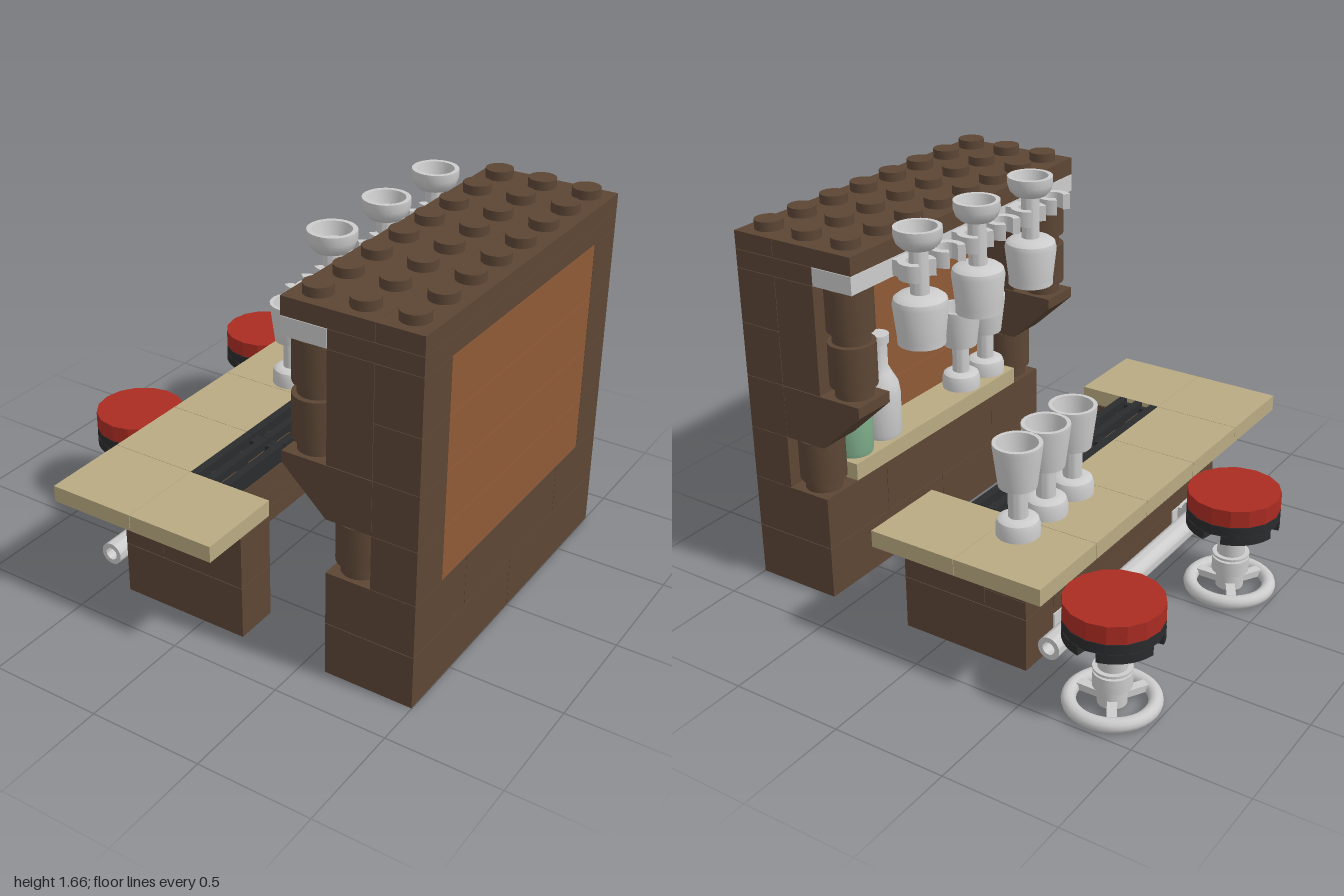
import * as THREE from 'three';
import { toCreasedNormals } from 'three/addons/utils/BufferGeometryUtils.js';

const mat = (color) => new THREE.MeshStandardMaterial({ color });
const brown = mat(0x5c4635), orange = mat(0x8f5a36), tan = mat(0xb9aa82), red = mat(0xaa2c22);
const black = mat(0x2a2b2d), green = mat(0x7fae8a), grey = mat(0xcccccc);
const GAP = 0.002;

function add(parent, name, geometry, material, x = 0, y = 0, z = 0) {
  const mesh = new THREE.Mesh(geometry, material);
  mesh.name = name;
  mesh.position.set(x, y, z);
  parent.add(mesh);
  return mesh;
}

// Solid block given by its limits, with a hairline seam
function block(parent, name, material, x0, x1, y0, y1, z0, z1) {
  const g = new THREE.BoxGeometry(x1 - x0 - GAP, y1 - y0 - GAP, z1 - z0 - GAP);
  return add(parent, name, g, material, (x0 + x1) / 2, (y0 + y1) / 2, (z0 + z1) / 2);
}

// Extrude a plan shape upwards from y = 0
function extrudeUp(shape, height) {
  const g = new THREE.ExtrudeGeometry(shape, { depth: height, bevelEnabled: false, curveSegments: 16 });
  return toCreasedNormals(g.rotateX(-Math.PI / 2), 0.6);
}

function ringShape(outer, inner) {
  const s = new THREE.Shape().absarc(0, 0, outer, 0, Math.PI * 2, false);
  s.holes.push(new THREE.Path().absarc(0, 0, inner, 0, Math.PI * 2, true));
  return s;
}

function rectPoints(w, d) {
  return [[-w, -d], [w, -d], [w, d], [-w, d]].map(([x, y]) => new THREE.Vector2(x / 2, y / 2));
}

// Brick open underneath, with tubes (two wide) or pegs (one wide)
function brick(parent, name, material, x0, x1, y0, y1, z0, z1) {
  const group = new THREE.Group();
  group.name = name;
  group.position.set((x0 + x1) / 2, y0, (z0 + z1) / 2);
  parent.add(group);
  const w = x1 - x0 - GAP, d = z1 - z0 - GAP, h = y1 - y0 - GAP, roof = 0.025;
  const frame = new THREE.Shape(rectPoints(w, d));
  frame.holes.push(new THREE.Path(rectPoints(w - 0.06, d - 0.06).reverse()));
  add(group, 'walls', extrudeUp(frame, h), material);
  add(group, 'roof', new THREE.BoxGeometry(w - 0.06, roof, d - 0.06), material, 0, h - roof / 2, 0);
  const nx = Math.round((x1 - x0) / 0.2), nz = Math.round((z1 - z0) / 0.2);
  const post = nx > 1 && nz > 1
    ? extrudeUp(ringShape(0.08, 0.06), h - roof)
    : new THREE.CylinderGeometry(0.035, 0.035, h - roof, 12).translate(0, (h - roof) / 2, 0);
  for (let i = 0; i < Math.max(nx - 1, 1); i++)
    for (let k = 0; k < Math.max(nz - 1, 1); k++)
      add(group, 'post', post, material, (i - (Math.max(nx, 2) - 2) / 2) * 0.2, 0, (k - (Math.max(nz, 2) - 2) / 2) * 0.2);
}

function lathe(points, segments = 24) {
  const g = new THREE.LatheGeometry(points.map(([r, y]) => new THREE.Vector2(r, y)), segments);
  return toCreasedNormals(g, 0.6);
}

const stud = new THREE.CylinderGeometry(0.06, 0.06, 0.04, 16).translate(0, 0.02, 0);
const roundBrick = lathe([[0, 0], [0.08, 0], [0.08, 0.05], [0.1, 0.05], [0.1, 0.238], [0, 0.238]]);
const goblet = lathe([[0, 0], [0.09, 0], [0.09, 0.045], [0.083, 0.068], [0.065, 0.08], [0.04, 0.08], [0.04, 0.215],
  [0.078, 0.215], [0.1, 0.385], [0.1, 0.4], [0.083, 0.4], [0.063, 0.27], [0, 0.27]]);
const hangingGlass = lathe([[0, 0.08], [0.08, 0.08], [0.085, 0], [0.1, 0], [0.1, 0.03], [0.116, 0.17], [0.11, 0.195],
  [0.09, 0.21], [0.04, 0.215], [0.04, 0.4], [0.07, 0.41], [0.09, 0.43], [0.1, 0.46], [0.1, 0.495], [0.08, 0.495],
  [0.065, 0.44], [0, 0.44]]);
const bottle = lathe([[0, 0], [0.085, 0], [0.09, 0.02], [0.09, 0.2], [0.082, 0.25], [0.055, 0.3], [0.04, 0.33],
  [0.04, 0.44], [0.05, 0.44], [0.05, 0.48], [0, 0.48]]);

function backBar(root) {
  const bar = new THREE.Group();
  bar.name = 'backBar';
  root.add(bar);
  // Base courses
  for (const z of [-0.8, 0]) brick(bar, 'baseBrick', brown, 0.6, 1, 0, 0.24, z, z + 0.8);
  for (const [a, b] of [[-0.8, -0.4], [-0.4, 0.4], [0.4, 0.8]]) block(bar, 'baseUpper', brown, 0.6, 1, 0.24, 0.48, a, b);
  // Wall courses
  for (let i = 0; i < 4; i++) {
    const y = 0.48 + i * 0.24;
    block(bar, 'wallPanel', orange, 0.8, 1, y, y + 0.24, -0.6, 0.6);
    for (const z of [-0.8, 0.6]) block(bar, 'wallCorner', brown, 0.8, 1, y, y + 0.24, z, z + 0.2);
  }
  // End columns: round bricks, bracket and pillar
  const bracket = new THREE.Shape([[0.6, 0.722], [0.8, 0.722], [0.8, 0.958], [0.4, 0.958], [0.4, 0.91]].map((p) => new THREE.Vector2(...p)));
  const bracketGeo = new THREE.ExtrudeGeometry(bracket, { depth: 0.198, bevelEnabled: false });
  for (const s of [-1, 1]) {
    add(bar, 'bracket', bracketGeo, brown, 0, 0, s * 0.7 - 0.099);
    block(bar, 'pillar', brown, 0.6, 0.8, 0.96, 1.44, s * 0.7 - 0.1, s * 0.7 + 0.1);
    for (const [x, y] of [[0.7, 0.48], [0.5, 0.96], [0.5, 1.2]]) add(bar, 'roundBrick', roundBrick, brown, x, y, s * 0.7);
  }
  // Canopy
  block(bar, 'canopyLower', brown, 0.6, 1, 1.44, 1.52, -0.8, 0.8);
  block(bar, 'clipRail', grey, 0.4, 0.6, 1.44, 1.52, -0.8, 0.8);
  block(bar, 'canopyTop', brown, 0.4, 0.8, 1.52, 1.6, -0.8, 0.8);
  block(bar, 'canopyTop', brown, 0.8, 1, 1.52, 1.6, -0.8, 0.8);
  for (const x of [0.5, 0.7, 0.9])
    for (let k = 0; k < 8; k++) add(bar, 'stud', stud, brown, x, 1.6, -0.7 + k * 0.2);
  // Glass clips
  const a = Math.PI * 0.75;
  const fork = new THREE.Shape().absarc(0, 0, 0.078, -a, a, false);
  fork.absarc(0, 0, 0.045, a, -a, true);
  const forkGeo = extrudeUp(fork, 0.07);
  for (let k = 0; k < 6; k++) {
    const z = -0.5 + k * 0.2;
    add(bar, 'clip', forkGeo, grey, 0.31, 1.445, z);
    block(bar, 'clipStem', grey, 0.365, 0.405, 1.445, 1.515, z - 0.045, z + 0.045);
  }
  for (const z of [-0.5, -0.1, 0.3]) add(bar, 'hangingGlass', hangingGlass, grey, 0.3, 1.165, z);
  // Shelf with bottles and glasses
  block(bar, 'shelf', tan, 0.6, 0.8, 0.48, 0.56, -0.6, 0.6);
  for (const z of [0.3, 0.5]) add(bar, 'shelfGlass', goblet, grey, 0.7, 0.56, z);
  add(bar, 'greenBottle', bottle, green, 0.7, 0.56, -0.5);
  add(bar, 'greyBottle', bottle, grey, 0.7, 0.56, -0.3);
}

function counter(root) {
  const bar = new THREE.Group();
  bar.name = 'counter';
  root.add(bar);
  // Front wall and end wings
  brick(bar, 'wallFoot', brown, -0.4, -0.2, 0, 0.08, -0.6, 0.6);
  for (const [y0, y1] of [[0.08, 0.16], [0.16, 0.24], [0.24, 0.32], [0.32, 0.4]])
    block(bar, 'wallCourse', brown, -0.4, -0.2, y0, y1, -0.6, 0.6);
  brick(bar, 'wallTop', brown, -0.4, 0, 0.4, 0.48, -0.6, 0.6);
  for (const z of [-0.8, 0.6]) {
    brick(bar, 'wingBase', brown, -0.4, 0.2, 0, 0.24, z, z + 0.2);
    block(bar, 'wingUpper', brown, -0.2, 0.2, 0.24, 0.48, z, z + 0.2);
    for (let i = 0; i < 3; i++) block(bar, 'wingPlate', brown, -0.4, -0.2, 0.24 + i * 0.08, 0.32 + i * 0.08, z, z + 0.2);
  }
  // Worktop
  for (let k = 0; k < 5; k++) {
    const z = -1 + k * 0.4;
    brick(bar, 'worktop', tan, -0.6, -0.2, 0.485, 0.56, z, z + 0.4);
    if (k % 4 === 0) brick(bar, 'worktop', tan, -0.2, 0.2, 0.485, 0.56, z, z + 0.4);
  }
  // Drip grilles over studs
  for (let k = 0; k < 3; k++) {
    const z = -0.6 + k * 0.4;
    for (const x of [-0.18, -0.1, -0.02]) block(bar, 'grilleBar', black, x - 0.019, x + 0.019, 0.48, 0.56, z, z + 0.4);
    for (const e of [z, z + 0.37]) block(bar, 'grilleEnd', black, -0.2, 0, 0.48, 0.54, e, e + 0.03);
    for (const e of [0.1, 0.3]) add(bar, 'stud', stud, brown, -0.1, 0.48, z + e);
  }
  for (const z of [-0.7, -0.5, -0.3]) add(bar, 'goblet', goblet, grey, -0.3, 0.56, z);
  // Foot rail with holders
  const rail = extrudeUp(ringShape(0.05, 0.028), 1.58).rotateX(Math.PI / 2);
  const holder = extrudeUp(ringShape(0.08, 0.045), 0.1).rotateX(Math.PI / 2);
  add(bar, 'footRail', rail, grey, -0.5, 0.14, -0.79);
  for (const z of [-0.5, 0.5]) {
    add(bar, 'railHolder', holder, grey, -0.5, 0.14, z - 0.05);
    block(bar, 'holderPlate', grey, -0.405, -0.195, 0.08, 0.16, z - 0.1, z + 0.1);
    block(bar, 'holderArm', grey, -0.44, -0.4, 0.085, 0.16, z - 0.05, z + 0.05);
  }
}

function stool(root, x, z) {
  const g = new THREE.Group();
  g.name = 'stool';
  g.position.set(x, 0, z);
  root.add(g);
  // Wheel-shaped foot
  add(g, 'footRing', new THREE.TorusGeometry(0.17, 0.03, 12, 36).rotateX(Math.PI / 2), grey, 0, 0.03, 0);
  for (let i = 0; i < 3; i++) {
    const spoke = new THREE.BoxGeometry(0.15, 0.03, 0.04).translate(0.085, 0, 0);
    add(g, 'spoke', spoke, grey, 0, 0.04, 0).rotation.y = i * Math.PI * 2 / 3;
  }
  // Post
  add(g, 'post', lathe([[0, 0.02], [0.06, 0.02], [0.06, 0.1], [0.08, 0.1], [0.08, 0.165], [0.065, 0.165], [0.065, 0.175],
    [0.08, 0.175], [0.08, 0.185], [0.06, 0.185], [0.06, 0.37], [0, 0.37]]), grey);
  // Notched seat base and cushion
  add(g, 'seatBase', new THREE.CylinderGeometry(0.2, 0.2, 0.045, 16), black, 0, 0.3875, 0);
  const arc = new THREE.Shape().absarc(0, 0, 0.2, 0.2, Math.PI / 2 - 0.2, false);
  arc.absarc(0, 0, 0.14, Math.PI / 2 - 0.2, 0.2, true);
  const lug = extrudeUp(arc, 0.04);
  for (let i = 0; i < 4; i++) add(g, 'seatLug', lug, black, 0, 0.328, 0).rotation.y = i * Math.PI / 2;
  add(g, 'seat', toCreasedNormals(new THREE.CylinderGeometry(0.2, 0.2, 0.077, 16), 0.2), red, 0, 0.4505, 0);
}

export function createModel() {
  const root = new THREE.Group();
  root.name = 'barCounterSet';
  backBar(root);
  counter(root);
  for (const z of [-0.8, 0.2]) stool(root, -0.8, z);
  return root;
}
